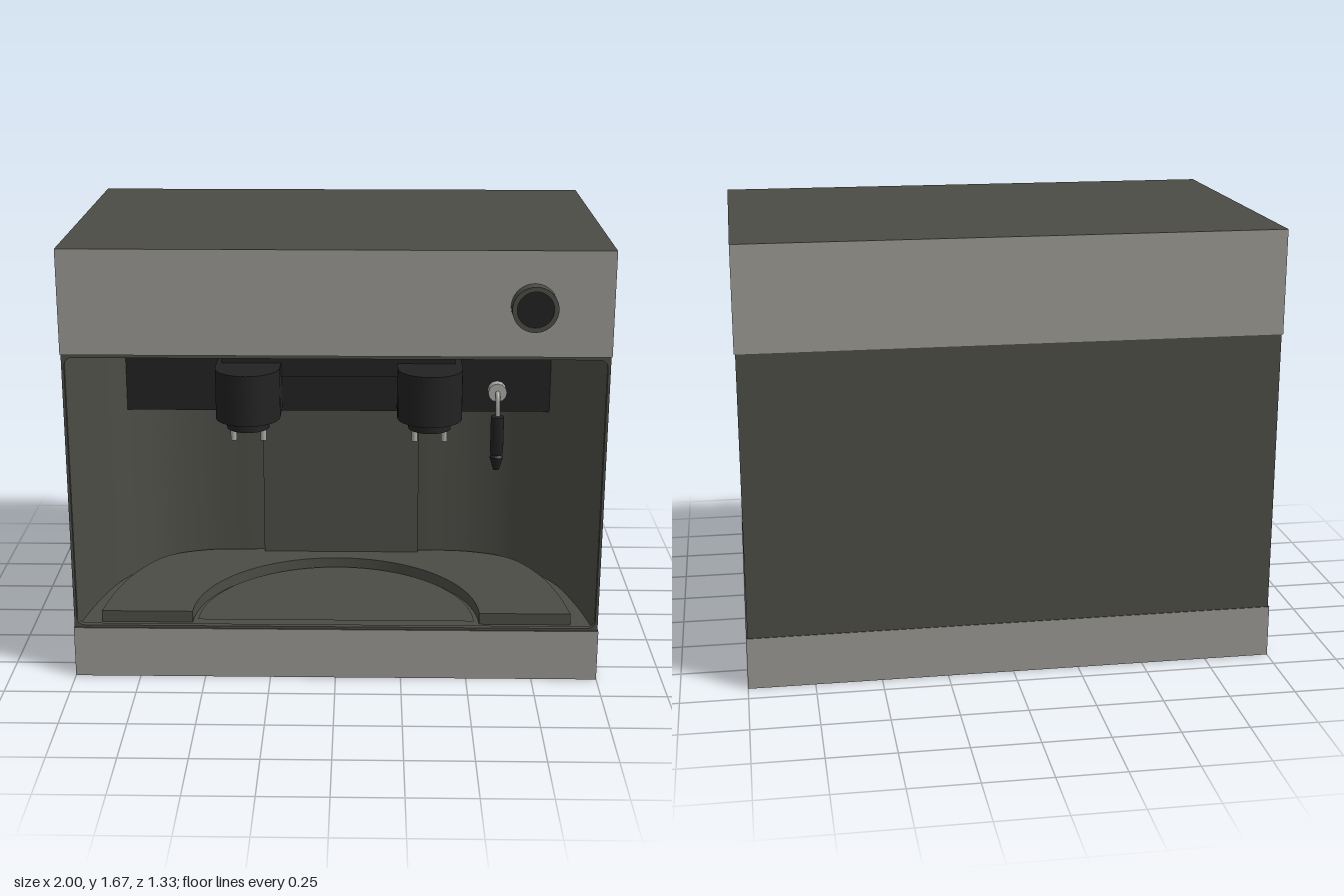
import * as THREE from 'three';
import { toCreasedNormals } from 'three/addons/utils/BufferGeometryUtils.js';

const mat = (name, color) => {
  const m = new THREE.MeshStandardMaterial({ color });
  m.name = name;
  return m;
};

export function createModel() {
  const bandGrey = mat('warm grey band', 0x9a9892);
  const shell = mat('dark olive shell', 0x4c4c46);
  const black = mat('black', 0x222222);
  const metal = mat('light metal', 0xaaaaa6);

  const root = new THREE.Group();
  root.name = 'coffeeMachine';

  const add = (name, geometry, material, x = 0, y = 0, z = 0, parent = root) => {
    const mesh = new THREE.Mesh(geometry, material);
    mesh.name = name;
    mesh.position.set(x, y, z);
    parent.add(mesh);
    return mesh;
  };
  // box given by its minimum and maximum corners
  const block = (name, [x0, y0, z0], [x1, y1, z1], material) =>
    add(name, new THREE.BoxGeometry(x1 - x0, y1 - y0, z1 - z0), material,
      (x0 + x1) / 2, (y0 + y1) / 2, (z0 + z1) / 2);
  // extrude a plan outline (x, -z) upwards from y0
  const planExtrude = (name, shape, y0, height, material) => {
    const g = new THREE.ExtrudeGeometry(shape, { depth: height, bevelEnabled: false, curveSegments: 40 });
    g.rotateX(-Math.PI / 2);
    return add(name, toCreasedNormals(g, 0.4), material, 0, y0, 0);
  };
  // left half of a bowed wall, mirrored to the right side; points are (x, z)
  const bowedCurve = (points) => {
    const half = new THREE.CatmullRomCurve3(points.map(([x, z]) => new THREE.Vector3(x, -z, 0)))
      .getPoints(36).map((p) => new THREE.Vector2(p.x, p.y));
    return [...half, ...half.slice().reverse().map((p) => new THREE.Vector2(-p.x, p.y))];
  };

  // upper and lower bands, with dark horizontal faces
  const bandMaterials = [bandGrey, bandGrey, shell, shell, bandGrey, bandGrey];
  block('lowerBand', [-1, 0, -0.667], [1, 0.2, 0.61], bandMaterials);
  block('upperBand', [-1, 1.28, -0.667], [1, 1.67, 0.61], bandMaterials);

  // middle shell with the bowed cavity open to the front
  const wall = bowedCurve([[-0.985, 0.6], [-0.94, 0.35], [-0.87, 0.13], [-0.75, -0.02],
    [-0.56, -0.09], [-0.32, -0.105]]);
  const body = new THREE.Shape([
    new THREE.Vector2(-0.995, -0.6), ...wall, new THREE.Vector2(0.995, -0.6),
    new THREE.Vector2(0.995, 0.664), new THREE.Vector2(-0.995, 0.664),
  ]);
  planExtrude('middleShell', body, 0.2, 1.08, shell);

  // slim lip with rounded corners around the opening
  const lip = new THREE.Shape();
  lip.moveTo(-0.997, 0.2).lineTo(0.997, 0.2).lineTo(0.997, 1.28).lineTo(-0.997, 1.28).closePath();
  const hx = 0.987, hb = 0.21, ht = 1.268, r = 0.035;
  const hole = new THREE.Path();
  hole.moveTo(-hx + r, hb).lineTo(hx - r, hb).quadraticCurveTo(hx, hb, hx, hb + r)
    .lineTo(hx, ht - r).quadraticCurveTo(hx, ht, hx - r, ht)
    .lineTo(-hx + r, ht).quadraticCurveTo(-hx, ht, -hx, ht - r)
    .lineTo(-hx, hb + r).quadraticCurveTo(-hx, hb, -hx + r, hb);
  lip.holes.push(hole);
  add('openingLip', new THREE.ExtrudeGeometry(lip, { depth: 0.02, bevelEnabled: false }), shell, 0, 0, 0.585);

  // rear service panel
  block('rearPanel', [-0.31, 0.2, -0.12], [0.33, 1.27, -0.07], shell);

  // drip tray with a half-round cutout at the front
  const edge = bowedCurve([[-0.9, 0.55], [-0.87, 0.35], [-0.81, 0.15], [-0.71, -0.01],
    [-0.55, -0.08], [-0.32, -0.095]]);
  const tray = new THREE.Shape(edge);
  tray.lineTo(0.55, -0.55);
  tray.absarc(0, -0.55, 0.55, 0, Math.PI, false);
  tray.closePath();
  planExtrude('dripTray', tray, 0.2, 0.045, shell);
  const cupStand = add('cupStand', new THREE.CylinderGeometry(0.53, 0.53, 0.012, 64, 1, false, Math.PI / 2, Math.PI),
    shell, 0, 0.206, 0.55);
  cupStand.scale.z = 1;

  // brew unit under the upper band
  block('brewUnitBack', [-0.87, 0.91, -0.1], [0.86, 1.28, 0.08], black);
  block('brewUnitFront', [-0.455, 1.07, 0.08], [0.46, 1.28, 0.15], black);

  // two dispensers, each with a pair of spouts
  for (const x of [-0.348, 0.36]) {
    const dispenser = new THREE.Group();
    dispenser.name = 'dispenser';
    dispenser.position.set(x, 0, 0.22);
    root.add(dispenser);
    add('dispenserHead', new THREE.CylinderGeometry(0.126, 0.126, 0.2, 32), black, 0, 1.025, 0, dispenser);
    add('dispenserMount', new THREE.BoxGeometry(0.252, 0.2, 0.15), black, 0, 1.025, -0.075, dispenser);
    add('dispenserBase', new THREE.CylinderGeometry(0.083, 0.083, 0.04, 28), black, 0, 0.906, 0, dispenser);
    for (const side of [-1, 1]) {
      add('spout', new THREE.CylinderGeometry(0.012, 0.012, 0.07, 14), metal, side * 0.058, 0.867, 0, dispenser);
    }
  }

  // steam wand: joint, bent pipe and insulated grip
  const joint = add('wandJoint', new THREE.CylinderGeometry(0.037, 0.037, 0.05, 12), metal, 0.63, 1, 0.1);
  joint.rotation.x = Math.PI / 2;
  const pipe = new THREE.CatmullRomCurve3([
    new THREE.Vector3(0.63, 1, 0.1), new THREE.Vector3(0.63, 0.995, 0.14),
    new THREE.Vector3(0.63, 0.96, 0.152), new THREE.Vector3(0.63, 0.9, 0.152),
  ]);
  add('wandPipe', new THREE.TubeGeometry(pipe, 16, 0.009, 10), metal);
  const grip = [[0, 0.69], [0.012, 0.692], [0.027, 0.745], [0.022, 0.755], [0.026, 0.765], [0.026, 0.912], [0, 0.915]]
    .map(([px, py]) => new THREE.Vector2(px, py));
  add('wandGrip', toCreasedNormals(new THREE.LatheGeometry(grip, 20), 0.5), black, 0.63, 0, 0.152);

  // control knob with a dark inset face
  const ring = new THREE.Shape();
  ring.absarc(0, 0, 0.083, 0, Math.PI * 2, false);
  const inset = new THREE.Path();
  inset.absarc(0, 0, 0.066, 0, Math.PI * 2, true);
  ring.holes.push(inset);
  const ringGeometry = new THREE.ExtrudeGeometry(ring, { depth: 0.065, bevelEnabled: false, curveSegments: 40 });
  add('knobRing', toCreasedNormals(ringGeometry, 0.5), shell, 0.712, 1.468, 0.602);
  const face = add('knobFace', new THREE.CylinderGeometry(0.067, 0.067, 0.06, 40), black, 0.712, 1.468, 0.632);
  face.rotation.x = Math.PI / 2;

  return root;
}
